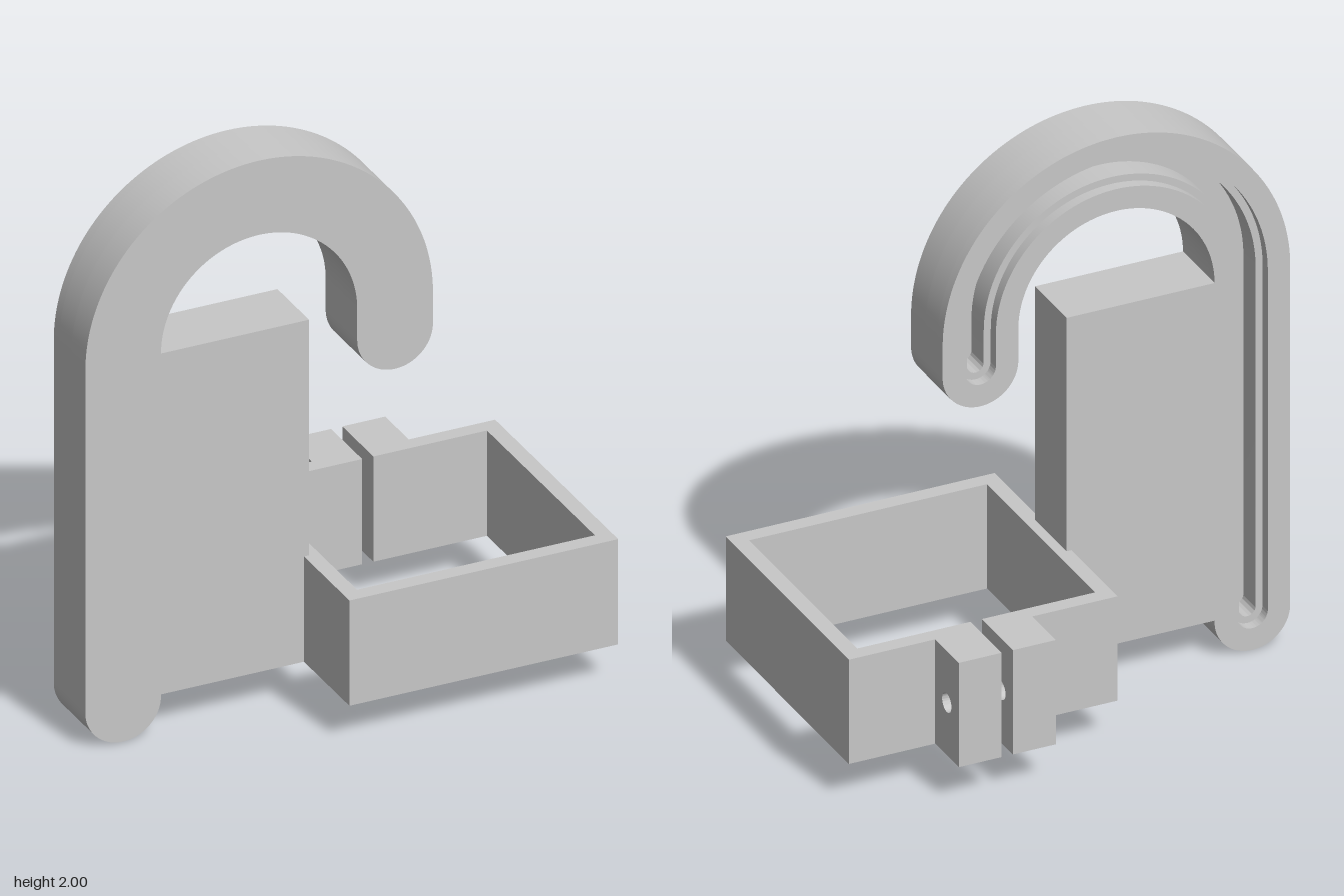
import * as THREE from 'three';
import { toCreasedNormals } from 'three/addons/utils/BufferGeometryUtils.js';

const LEG_X = -0.735, TIP_X = 0.235, ARC_X = -0.25, ARC_Y = 1.38, ARC_R = 0.485;
const HALF = 0.135, LEG_Y = HALF, TIP_Y = 1.265;
const BACK = -0.028, FRONT = 0.204;
const SEGMENTS = 40;

// Outline of a rounded hook-shaped band with half width h around the hook's centre line
function hookOutline(h) {
  const path = new THREE.Path();
  path.moveTo(LEG_X - h, LEG_Y);
  path.lineTo(LEG_X - h, ARC_Y);
  path.absarc(ARC_X, ARC_Y, ARC_R + h, Math.PI, 0, true);
  path.lineTo(TIP_X + h, TIP_Y);
  path.absarc(TIP_X, TIP_Y, h, 0, -Math.PI, true);
  path.lineTo(TIP_X - h, ARC_Y);
  path.absarc(ARC_X, ARC_Y, ARC_R - h, 0, Math.PI, false);
  path.lineTo(LEG_X + h, LEG_Y);
  path.absarc(LEG_X, LEG_Y, h, 0, -Math.PI, true);
  return path.getPoints(SEGMENTS);
}

function extrude(shape, depth) {
  return new THREE.ExtrudeGeometry(shape, { depth, bevelEnabled: false, curveSegments: SEGMENTS });
}

export function createModel() {
  const group = new THREE.Group();
  const grey = new THREE.MeshStandardMaterial({ color: 0xc8c8c8 });
  grey.name = 'plain grey';

  const add = (name, geometry) => {
    const mesh = new THREE.Mesh(geometry, grey);
    mesh.name = name;
    group.add(mesh);
  };

  // Hook in layers: solid front, narrow deep groove, wide shallow groove at the back
  const layers = [
    ['hookFront', 0.1, FRONT, 0],
    ['hookNarrowGroove', 0.01, 0.1, 0.03],
    ['hookWideGroove', BACK, 0.01, 0.055],
  ];
  for (const [name, z0, z1, groove] of layers) {
    // The outline runs clockwise, so the groove is reversed to face inward
    const shape = new THREE.Shape(hookOutline(HALF));
    if (groove) shape.holes.push(new THREE.Path(hookOutline(groove).reverse()));
    const geometry = extrude(shape, z1 - z0).translate(0, 0, z0);
    add(name, toCreasedNormals(geometry, 0.5));
  }

  // Back plate filling the space beside the leg
  const plateLeft = LEG_X + HALF, plateRight = -0.072;
  const plate = new THREE.BoxGeometry(plateRight - plateLeft, 1.24, FRONT - BACK);
  add('plate', plate.translate((plateLeft + plateRight) / 2, 0.76, (FRONT + BACK) / 2));

  // Square clamp, open at the back between the two lugs (shape y is -z)
  const clampY = 0.14, clampH = 0.383;
  const clampShape = new THREE.Shape([
    [0.215, 0.367], [-0.09, 0.367], [-0.09, -0.538], [0.869, -0.538], [0.869, 0.367], [0.56, 0.367],
    [0.56, 0.312], [0.813, 0.312], [0.813, -0.482], [-0.036, -0.482], [-0.036, 0.312], [0.215, 0.312],
  ].map(([x, y]) => new THREE.Vector2(x, y)));
  add('clamp', extrude(clampShape, clampH).rotateX(-Math.PI / 2).translate(0, clampY, 0));

  // Pair of clamp lugs with a bolt hole (shape x is -z)
  const lugShape = new THREE.Shape([
    [0.312, clampY], [0.54, clampY], [0.54, clampY + clampH], [0.312, clampY + clampH],
  ].map(([x, y]) => new THREE.Vector2(x, y)));
  lugShape.holes.push(new THREE.Path().absarc(0.452, 0.333, 0.034, 0, Math.PI * 2, true));
  for (const [name, x] of [['rightLug', 0.215], ['leftLug', 0.408]]) {
    const geometry = extrude(lugShape, 0.153).rotateY(Math.PI / 2).translate(x, 0, 0);
    add(name, toCreasedNormals(geometry, 0.5));
  }

  return group;
}
